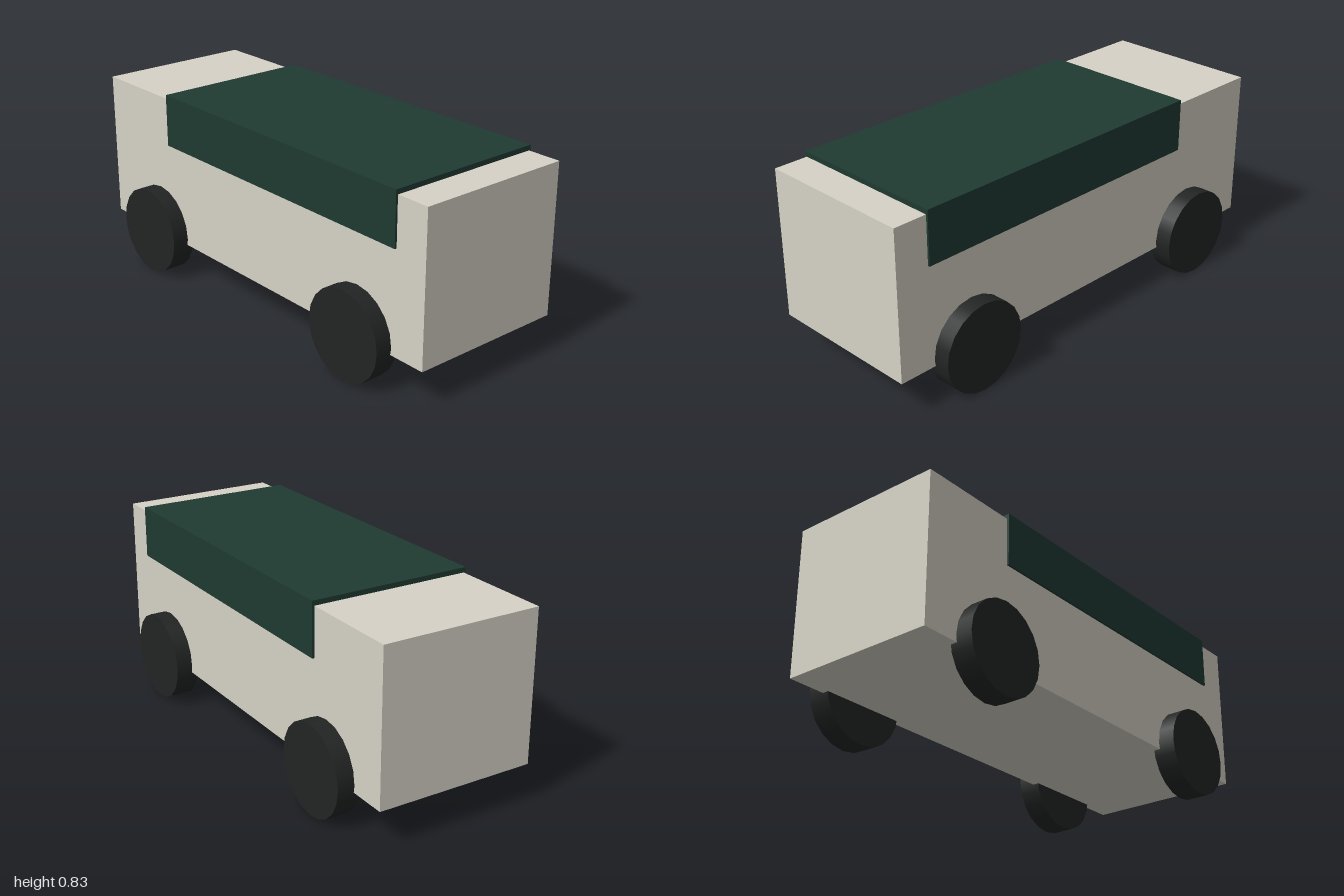
import * as THREE from 'three';

const material = (color) => new THREE.MeshStandardMaterial({ color });

export function createModel() {
  const group = new THREE.Group();
  const paint = material(0xd6d2c6);
  const green = material(0x1f3a32);
  const rubber = material(0x222424);

  // Box spanning x0..x1 and y0..y1, centred on z
  function addBox(name, x0, x1, y0, y1, depth, mat) {
    const mesh = new THREE.Mesh(new THREE.BoxGeometry(x1 - x0, y1 - y0, depth), mat);
    mesh.position.set((x0 + x1) / 2, (y0 + y1) / 2, 0);
    mesh.name = name;
    group.add(mesh);
  }

  // Van body and the slightly wider roof cover that laps over its sides
  addBox('body', -1, 1, 0.163, 0.807, 0.688, paint);
  addBox('roofCover', -0.562, 0.852, 0.6, 0.828, 0.706, green);

  // Four wheels, partly sunk into the sides
  const radius = 0.1915;
  const wheelGeometry = new THREE.CylinderGeometry(radius, radius, 0.1, 20).rotateX(Math.PI / 2);
  for (const x of [-0.646, 0.646]) {
    for (const side of [1, -1]) {
      const wheel = new THREE.Mesh(wheelGeometry, rubber);
      wheel.position.set(x, radius, side * 0.366);
      wheel.name = `${x > 0 ? 'left' : 'right'}${side > 0 ? 'Front' : 'Back'}Wheel`;
      group.add(wheel);
    }
  }
  return group;
}
